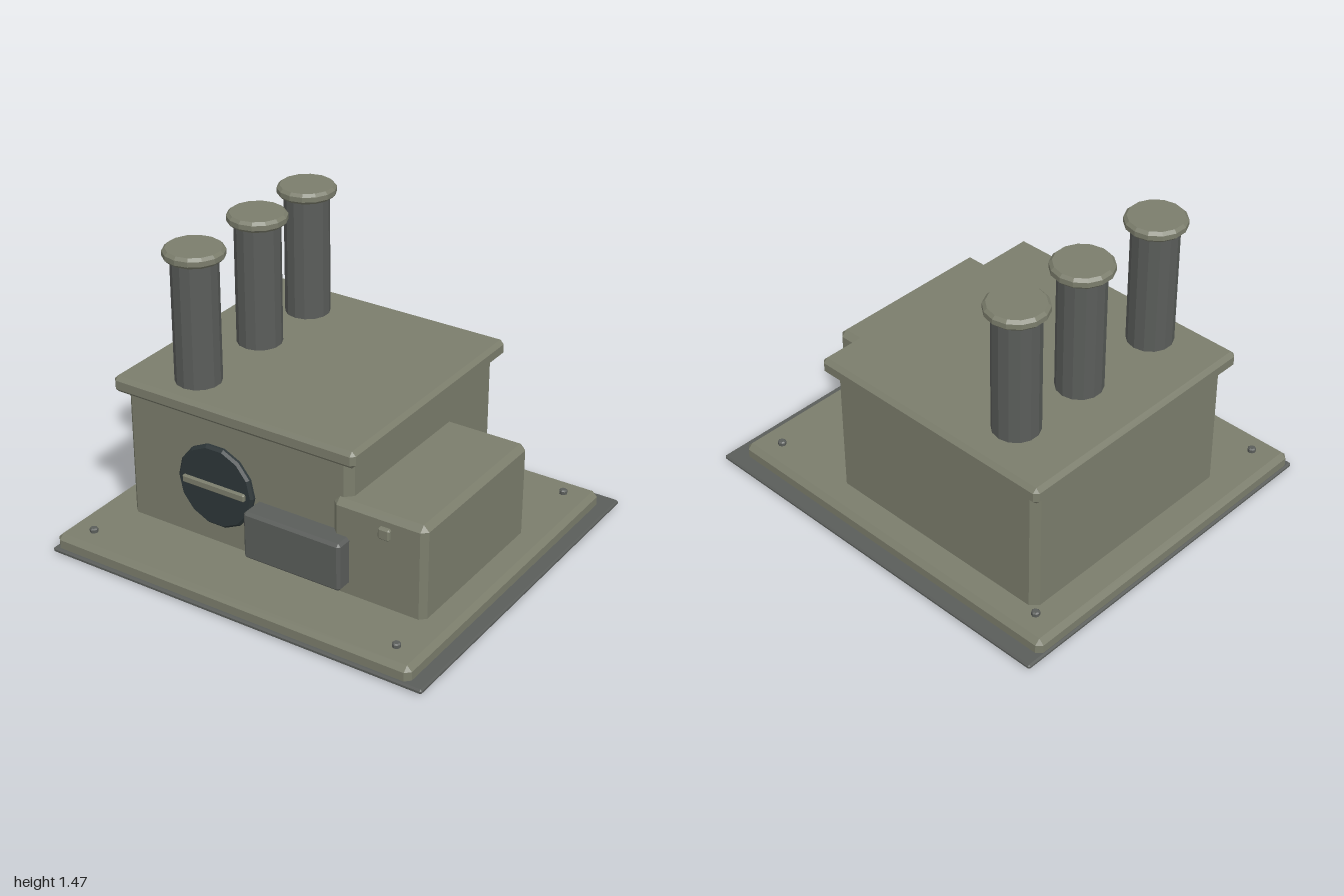
import * as THREE from 'three';
import { ConvexGeometry } from 'three/addons/geometries/ConvexGeometry.js';

const paint = (name, color) => Object.assign(new THREE.MeshStandardMaterial({ color }), { name });

// Box with all edges chamfered by c, given as [min, max] on each axis
function chamferBox([x0, x1], [y0, y1], [z0, z1], c) {
  const half = [(x1 - x0) / 2, (y1 - y0) / 2, (z1 - z0) / 2];
  const points = [];
  for (const sx of [-1, 1]) for (const sy of [-1, 1]) for (const sz of [-1, 1]) {
    for (let axis = 0; axis < 3; axis++) {
      const p = [sx, sy, sz].map((s, i) => s * (half[i] - (i === axis ? 0 : c)));
      points.push(new THREE.Vector3(...p));
    }
  }
  return new ConvexGeometry(points).translate((x0 + x1) / 2, (y0 + y1) / 2, (z0 + z1) / 2);
}

// Faceted disc or post with chamfered rims, standing on y = 0
function chamferDisc(r, h, c, sides = 14) {
  const profile = [[0, 0], [r - c, 0], [r, c], [r, h - c], [r - c, h], [0, h]];
  const geo = new THREE.LatheGeometry(profile.map(p => new THREE.Vector2(...p)), sides).toNonIndexed();
  geo.computeVertexNormals();
  return geo;
}

export function createModel() {
  const olive = paint('olive', 0x7b7d6c);
  const grey = paint('steel grey', 0x5a5d5a);
  const dark = paint('dark slate', 0x2d3638);

  const group = new THREE.Group();
  const add = (name, geo, mat, x = 0, y = 0, z = 0) => {
    const mesh = new THREE.Mesh(geo, mat);
    mesh.name = name;
    mesh.position.set(x, y, z);
    group.add(mesh);
    return mesh;
  };

  // Base
  add('basePlate', chamferBox([-1, 1], [0.002, 0.027], [-0.915, 0.915], 0.008), grey);
  add('baseSlab', chamferBox([-0.99, 0.93], [0, 0.095], [-0.84, 0.9], 0.025), olive);

  // Housing
  add('body', chamferBox([-0.83, 0.4], [0.05, 0.755], [-0.7, 0.535], 0.035), olive);
  add('lid', chamferBox([-0.87, 0.44], [0.73, 0.813], [-0.74, 0.575], 0.02), olive);
  add('sideBox', chamferBox([0.32, 0.8], [0.05, 0.56], [-0.325, 0.567], 0.028), olive);

  // Front details
  const dial = add('dial', chamferDisc(0.209, 0.05, 0.012).rotateY(Math.PI / 2), dark, -0.317, 0.396, 0.51);
  dial.rotation.x = Math.PI / 2;
  add('dialBar', chamferBox([-0.49, -0.145], [0.378, 0.416], [0.53, 0.575], 0.006), olive);
  add('frontBox', chamferBox([-0.1, 0.415], [0.145, 0.387], [0.5, 0.648], 0.014), grey);
  add('knob', chamferBox([0.58, 0.64], [0.46, 0.518], [0.578, 0.606], 0.008), olive);

  // Row of three capped chimneys
  for (const z of [0.385, -0.09, -0.49]) {
    add('chimney', chamferDisc(0.11, 0.67, 0.01), grey, -0.52, 0.77, z);
    add('chimneyCap', chamferDisc(0.143, 0.052, 0.014), olive, -0.52, 1.416, z);
  }

  // Corner bolts
  for (const x of [-0.855, 0.797]) for (const z of [-0.72, 0.785]) {
    add('bolt', chamferDisc(0.02, 0.03, 0.006, 8), grey, x, 0.087, z);
  }
  return group;
}
